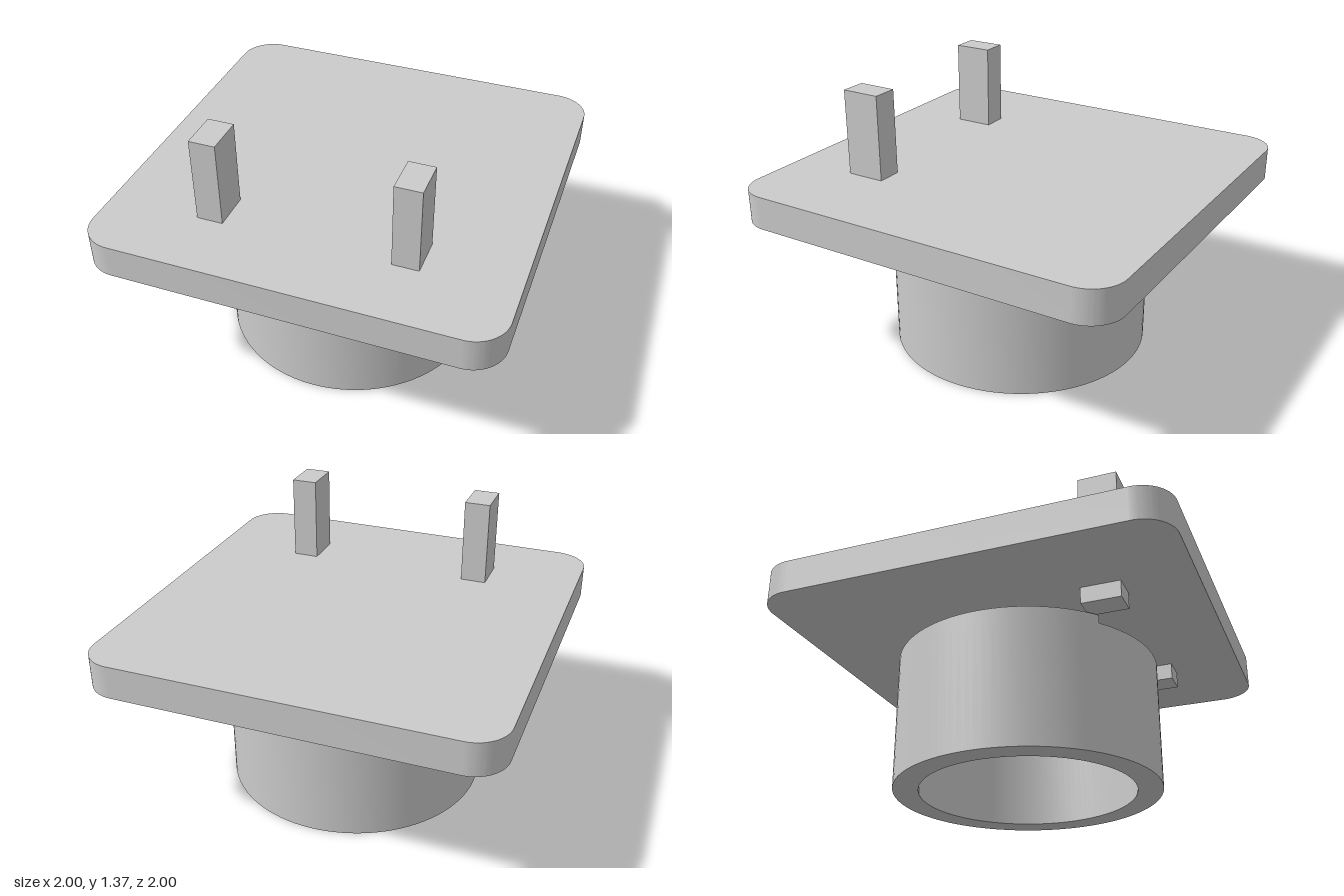
import * as THREE from 'three';
import { toCreasedNormals } from 'three/addons/utils/BufferGeometryUtils.js';

const grey = new THREE.MeshStandardMaterial({ color: 0xcccccc });

function part(name, geometry) {
  const mesh = new THREE.Mesh(geometry, grey);
  mesh.name = name;
  return mesh;
}

// Rounded square slab, extruded along y
function plateGeometry(half, radius, bottom, top) {
  const c = half - radius;
  const shape = new THREE.Shape();
  shape.absarc(c, c, radius, 0, Math.PI / 2);
  shape.absarc(-c, c, radius, Math.PI / 2, Math.PI);
  shape.absarc(-c, -c, radius, Math.PI, Math.PI * 1.5);
  shape.absarc(c, -c, radius, Math.PI * 1.5, Math.PI * 2);
  const geo = new THREE.ExtrudeGeometry(shape, { depth: top - bottom, bevelEnabled: false, curveSegments: 16 });
  geo.rotateX(Math.PI / 2).translate(0, top, 0);
  return toCreasedNormals(geo, 0.6);
}

// Open tube with a shallow straight-sided notch in the front of its top rim
function notchedRingGeometry(outer, inner, height, notchTop, notchHalfWidth) {
  const a = Math.acos(notchHalfWidth / outer);
  const b = Math.acos(notchHalfWidth / inner);
  const stations = [];
  const addArc = (a0, a1, b0, b1, top, count) => {
    for (let i = 0; i <= count; i++) {
      const t = i / count;
      const u = a0 + (a1 - a0) * t, v = b0 + (b1 - b0) * t;
      const at = (r, angle, y) => [r * Math.cos(angle), y, r * Math.sin(angle)];
      stations.push([at(outer, u, 0), at(outer, u, top), at(inner, v, top), at(inner, v, 0)]);
    }
  };
  addArc(a, Math.PI - a, b, Math.PI - b, notchTop, 20);
  addArc(Math.PI - a, Math.PI * 2 + a, Math.PI - b, Math.PI * 2 + b, height, 76);

  const positions = [];
  stations.forEach((p, i) => {
    const q = stations[(i + 1) % stations.length];
    for (let k = 0; k < 4; k++) {
      const n = (k + 1) % 4;
      positions.push(...p[k], ...p[n], ...q[n], ...p[k], ...q[n], ...q[k]);
    }
  });
  const geo = new THREE.BufferGeometry();
  geo.setAttribute('position', new THREE.Float32BufferAttribute(positions, 3));
  return toCreasedNormals(geo, 0.6);
}

export function createModel() {
  const model = new THREE.Group();
  model.name = 'notchedRingWithPlate';

  model.add(part('ring', notchedRingGeometry(0.66, 0.535, 0.682, 0.64, 0.415)));
  model.add(part('plate', plateGeometry(1, 0.17, 0.77, 0.937)));

  // Two pegs standing on the ring's rim and passing through the plate
  for (const [side, name] of [[1, 'leftPeg'], [-1, 'rightPeg']]) {
    const peg = part(name, new THREE.BoxGeometry(0.13, 0.68, 0.195));
    peg.position.set(side * 0.479, 1.027, 0.563);
    model.add(peg);
  }
  return model;
}
